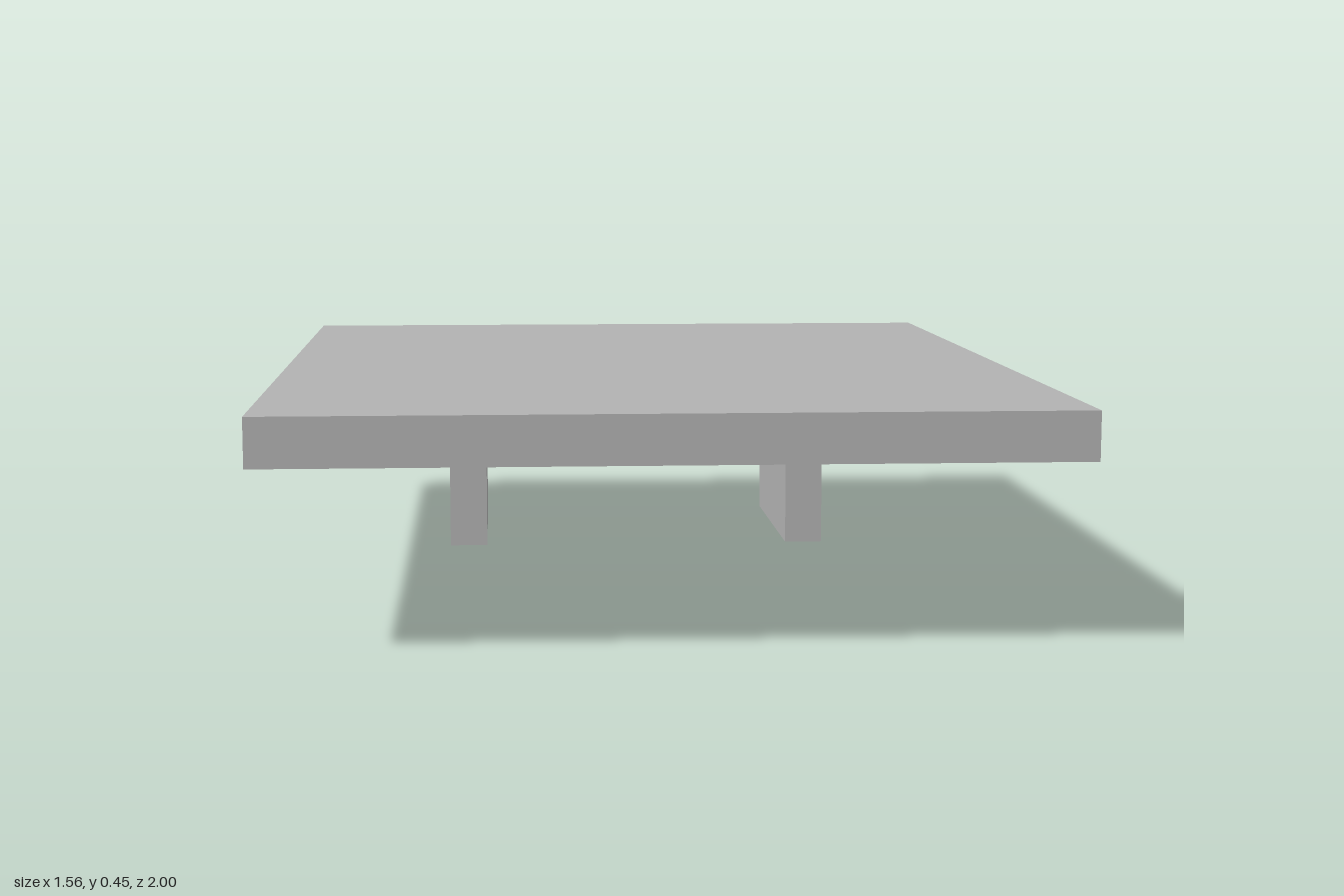
import * as THREE from 'three';

const grey = new THREE.MeshStandardMaterial({ color: 0xb2b2b2 });
grey.name = 'plain grey';

// Box given by its minimum and maximum corners
function block(name, [x0, y0, z0], [x1, y1, z1]) {
  const mesh = new THREE.Mesh(new THREE.BoxGeometry(x1 - x0, y1 - y0, z1 - z0), grey);
  mesh.position.set((x0 + x1) / 2, (y0 + y1) / 2, (z0 + z1) / 2);
  mesh.name = name;
  return mesh;
}

export function createModel() {
  const model = new THREE.Group();
  model.name = 'slabTable';
  const underside = 0.355;

  // Top slab
  model.add(block('tabletop', [-0.78, underside, -1], [0.78, 0.45, 1]));

  // Panel legs set towards the back, each with a bracket on its outer face
  for (const side of [1, -1]) {
    const label = side > 0 ? 'left' : 'right';
    const span = (a, b) => (side > 0 ? [a, b] : [-b, -a]);
    const [l0, l1] = span(0.35, 0.435);
    const [b0, b1] = span(0.435, 0.68);
    model.add(block(label + 'Leg', [l0, 0, -0.73], [l1, underside, -0.195]));
    model.add(block(label + 'Bracket', [b0, 0.295, -0.56], [b1, underside, -0.365]));
  }
  return model;
}
